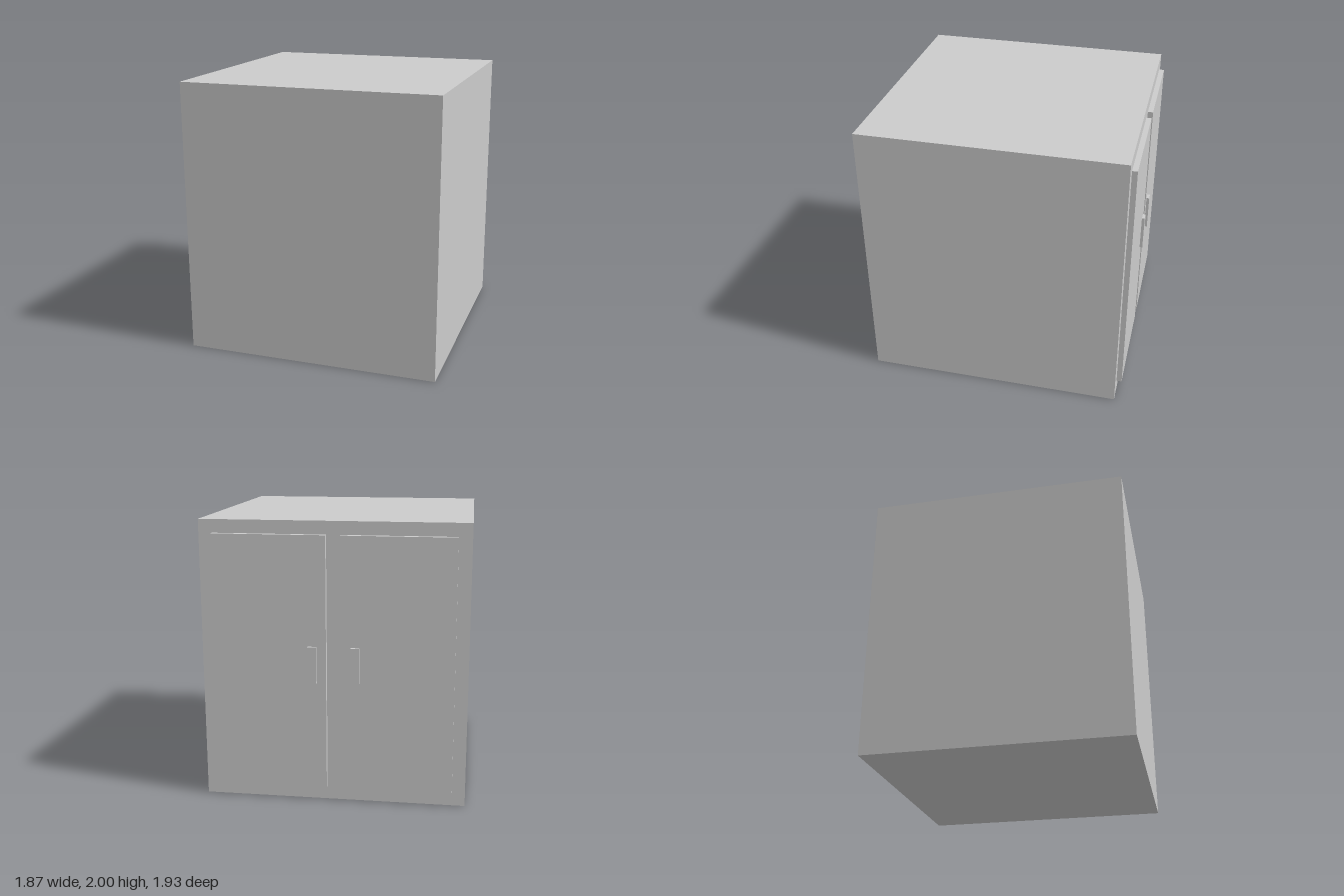
import * as THREE from 'three';

const material = new THREE.MeshStandardMaterial({ color: 0xcccccc, flatShading: true });

// Box given by its minimum and maximum corners
function box(name, [x0, y0, z0], [x1, y1, z1]) {
  const mesh = new THREE.Mesh(new THREE.BoxGeometry(x1 - x0, y1 - y0, z1 - z0), material);
  mesh.name = name;
  mesh.position.set((x0 + x1) / 2, (y0 + y1) / 2, (z0 + z1) / 2);
  return mesh;
}

export function createModel() {
  const group = new THREE.Group();
  group.name = 'cabinet';

  const back = -0.905, doorFace = -0.943, handleFace = -0.964;

  // Solid carcass
  group.add(box('body', [-0.933, 0, back], [0.933, 2, 0.964]));

  // Pair of doors, each with a bar handle near the middle gap
  const doors = [
    { side: 'left', door: [0.047, 0.838], handle: [0.113, 0.175] },
    { side: 'right', door: [-0.841, -0.05], handle: [-0.185, -0.125] },
  ];
  for (const { side, door, handle } of doors) {
    group.add(box(`${side}Door`, [door[0], 0.1, doorFace], [door[1], 1.907, back]));
    group.add(box(`${side}Handle`, [handle[0], 0.876, handleFace], [handle[1], 1.136, doorFace]));
  }
  return group;
}
